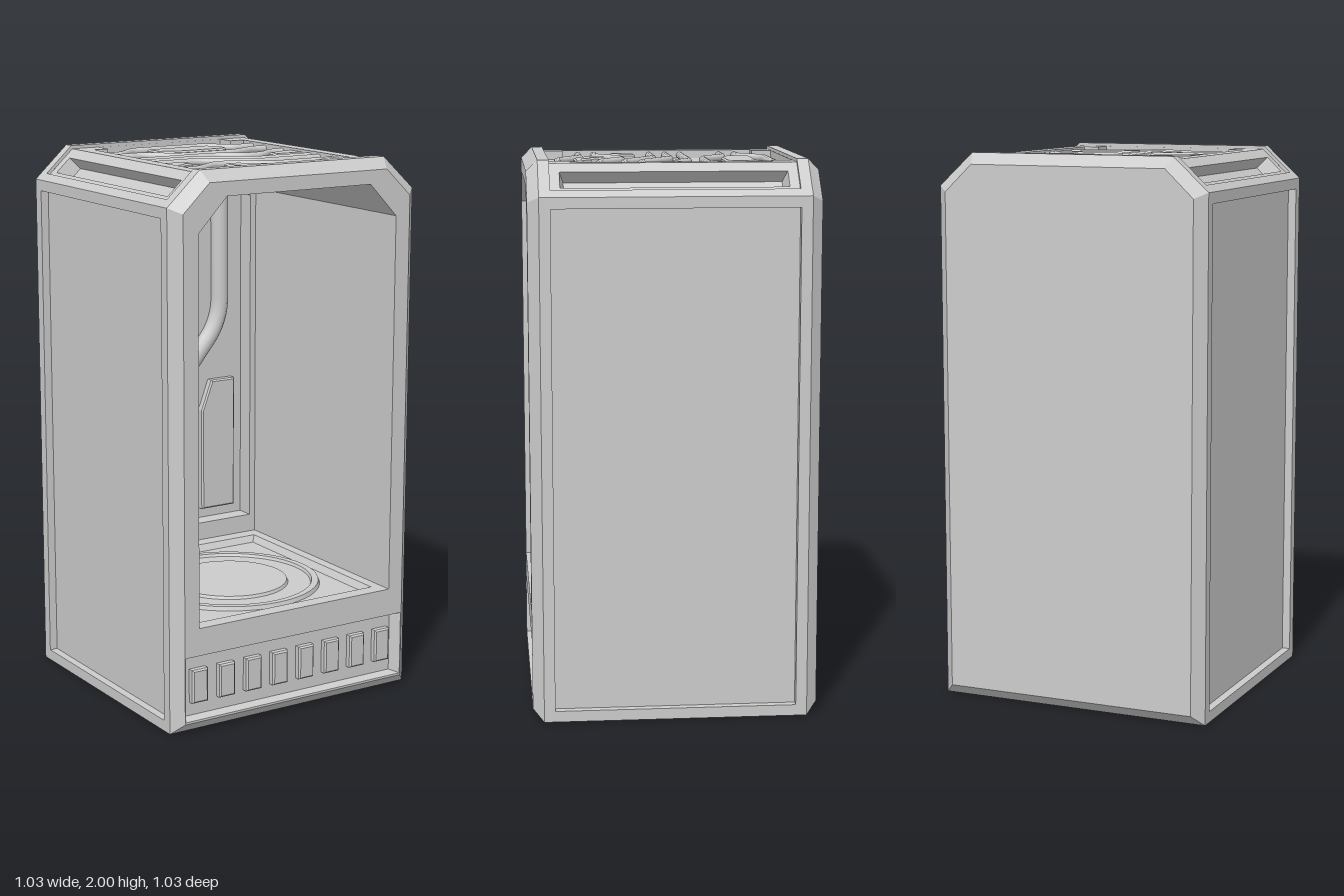
import * as THREE from 'three';

const mat = new THREE.MeshStandardMaterial({ color: 0xcccccc });

function add(parent, name, geometry) {
  const mesh = new THREE.Mesh(geometry, mat);
  mesh.name = name;
  parent.add(mesh);
  return mesh;
}

function subgroup(parent, name, pos = [0, 0, 0], rot = [0, 0, 0]) {
  const g = new THREE.Group();
  g.name = name;
  g.position.set(...pos);
  g.rotation.set(...rot);
  parent.add(g);
  return g;
}

const shapeOf = (pts) => new THREE.Shape(pts.map(([x, y]) => new THREE.Vector2(x, y)));
const atZ = (pts, z) => pts.map(([x, y]) => [x, y, z]);
const rect = (x0, y0, x1, y1) => [[x0, y0], [x1, y0], [x1, y1], [x0, y1]];
// house-shaped outline: square bottom, chamfered top corners
const arch = (w, y0, y1, cx, cy) =>
  [[-w, y0], [w, y0], [w, cy], [cx, y1], [-cx, y1], [-w, cy]];

// flat-shaded walls between successive 3D loops; one side can be left open
function loft(loops, skip = -1) {
  const v = [];
  for (let k = 0; k + 1 < loops.length; k++) {
    const A = loops[k], B = loops[k + 1], n = A.length;
    for (let i = 0; i < n; i++) {
      if (i === skip) continue;
      const j = (i + 1) % n;
      v.push(...A[i], ...A[j], ...B[j], ...A[i], ...B[j], ...B[i]);
    }
  }
  const g = new THREE.BufferGeometry();
  g.setAttribute('position', new THREE.Float32BufferAttribute(v, 3));
  g.computeVertexNormals();
  return g;
}

function face(parent, name, outline, holes = [], z = 0) {
  const s = shapeOf(outline);
  s.holes = holes.map(shapeOf);
  return add(parent, name, new THREE.ShapeGeometry(s).translate(0, 0, z));
}

// sunken pocket: walls from hole down to floor, plus the floor
function pocket(parent, name, hole, floor, z, depth) {
  add(parent, name + 'Walls', loft([atZ(hole, z), atZ(floor, z - depth)]));
  face(parent, name + 'Floor', floor, [], z - depth);
}

// raised plate with a small bevel
function plate(parent, name, pts, z, height) {
  const b = 0.006;
  add(parent, name, new THREE.ExtrudeGeometry(shapeOf(pts), {
    depth: height - b, bevelEnabled: true, bevelThickness: b, bevelSize: b, bevelOffset: -b, bevelSegments: 1,
  }).translate(0, 0, z));
}

// pipe along a polyline with rounded bends
function pipe(parent, name, pts, z, radius, bend) {
  const p = pts.map(([x, y]) => new THREE.Vector3(x, y, z));
  const path = new THREE.CurvePath();
  let from = p[0];
  for (let i = 1; i < p.length - 1; i++) {
    const a = p[i].clone().lerp(p[i - 1], Math.min(0.45, bend / p[i].distanceTo(p[i - 1])));
    const b = p[i].clone().lerp(p[i + 1], Math.min(0.45, bend / p[i].distanceTo(p[i + 1])));
    path.add(new THREE.LineCurve3(from, a));
    path.add(new THREE.QuadraticBezierCurve3(a, p[i], b));
    from = b;
  }
  path.add(new THREE.LineCurve3(from, p[p.length - 1]));
  add(parent, name, new THREE.TubeGeometry(path, 64, radius, 12));
}

export function createModel() {
  const model = new THREE.Group();
  model.name = 'chamber';

  // bevelled front and back rims
  const outline = arch(0.515, 0, 2, 0.385, 1.88);
  const inset = arch(0.475, 0.04, 1.96, 0.37, 1.86);
  for (const [name, ry] of [['frontRim', 0], ['backRim', Math.PI]]) {
    const rim = subgroup(model, name, [0, 0, 0], [0, ry, 0]);
    add(rim, name + 'Bevel', loft([atZ(outline, 0.475), atZ(inset, 0.515)]));
    if (ry) face(rim, 'backPanel', inset, [], 0.515);
  }
  const underside = add(model, 'underside', new THREE.PlaneGeometry(1.03, 0.95));
  underside.rotation.x = Math.PI / 2;

  // front face with doorway and button tray
  const door = arch(0.415, 0.39, 1.91, 0.3, 1.79);
  const niche = arch(0.39, 0.46, 1.87, 0.285, 1.765);
  const tray = rect(-0.472, 0.048, 0.472, 0.288);
  face(model, 'frontFace', inset, [door, tray], 0.515);
  pocket(model, 'buttonTray', tray, rect(-0.45, 0.055, 0.45, 0.285), 0.515, 0.04);
  for (let i = 0; i < 8; i++) {
    const x = (i - 3.5) * 0.1145;
    plate(model, 'button', rect(x - 0.033, 0.105, x + 0.033, 0.23), 0.475, 0.025);
  }

  // chamber interior and back niche
  add(model, 'chamberWalls', loft([atZ(door, 0.515), atZ(door, -0.4)], 0));
  face(model, 'nicheSurround', door, [niche], -0.4);
  pocket(model, 'niche', niche, niche, -0.4, 0.07);

  // pipes, junction box and plates on the back wall
  const back = subgroup(model, 'backFittings');
  const wz = -0.47;
  pipe(back, 'largePipe', [[-0.277, 1.87], [-0.277, 1.05], [-0.112, 0.9], [-0.112, 0.46]], wz + 0.02, 0.034, 0.09);
  pipe(back, 'largePipe', [[0.277, 1.87], [0.277, 1.27], [0.08, 1.03], [0.08, 0.46]], wz + 0.02, 0.034, 0.09);
  for (const s of [-1, 1])
    for (const [top, low, y] of [[0.165, 0.11, 1.55], [0.083, 0.06, 1.55]])
      pipe(back, 'thinPipe', [[s * top, 1.87], [s * top, y], [s * low, y - 0.12], [s * low, 1.25]], wz + 0.01, 0.015, 0.04);
  pipe(back, 'thinPipe', [[0, 1.87], [0, 0.46]], wz + 0.01, 0.014, 0.04);
  pipe(back, 'thinPipe', [[-0.125, 1.15], [-0.125, 1.07], [-0.042, 1.01], [-0.042, 0.46]], wz + 0.01, 0.014, 0.03);
  plate(back, 'junctionBox', [[-0.195, 1.095], [0.025, 1.095], [0.025, 1.18], [0.04, 1.2], [0.115, 1.2],
    [0.165, 1.255], [0.165, 1.285], [-0.195, 1.285]], wz, 0.05);
  plate(back, 'leftPlate', [[-0.36, 0.49], [-0.183, 0.49], [-0.183, 0.77], [-0.225, 0.855], [-0.36, 0.855]], wz, 0.03);
  plate(back, 'rightPlate', [[0.19, 0.502], [0.343, 0.502], [0.343, 1.03], [0.235, 1.03], [0.19, 0.91]], wz, 0.03);

  // sunken chamber floor with round pad
  const floor = subgroup(model, 'chamberFloor', [0, 0.39, 0.0575], [-Math.PI / 2, 0, 0]);
  const well = rect(-0.375, -0.4, 0.375, 0.4);
  face(floor, 'floorBorder', rect(-0.415, -0.4575, 0.415, 0.4575), [well]);
  pocket(floor, 'floorWell', well, rect(-0.36, -0.385, 0.36, 0.385), 0, 0.025);
  const padProfile = [[0.345, 0], [0.34, 0.015], [0.315, 0.015], [0.31, 0.004], [0.225, 0.004], [0.22, 0.015], [0, 0.015]];
  for (let i = 0; i + 1 < padProfile.length; i++) {
    const seg = padProfile.slice(i, i + 2).map(([r, y]) => new THREE.Vector2(r, y));
    add(model, 'floorPad', new THREE.LatheGeometry(seg, 48)).position.set(0, 0.365, 0.0575);
  }

  // side walls and sloped shoulders, mirrored by a half turn
  const slope = Math.atan2(0.12, 0.13), L = Math.hypot(0.12, 0.13) / 2, drop = 0.012;
  for (const [name, ry] of [['left', 0], ['right', Math.PI]]) {
    const half = subgroup(model, name + 'Half', [0, 0, 0], [0, ry, 0]);
    const side = subgroup(half, name + 'Side', [0.515, 0, 0], [0, Math.PI / 2, 0]);
    const opening = rect(-0.435, 0.04, 0.435, 1.84);
    face(side, 'sideFrame', rect(-0.475, 0, 0.475, 1.88), [opening]);
    pocket(side, 'sidePanel', opening, opening, 0, 0.03);

    const tilt = subgroup(half, name + 'Shoulder', [0.45, 1.94, 0], [0, 0, -slope]);
    const shoulder = subgroup(tilt, 'shoulderFace', [0, 0, 0], [-Math.PI / 2, 0, 0]);
    face(shoulder, 'shoulderFrame', [[-L, -0.475], [L, -0.475], [L, 0.475], [-L, 0.475],
      [-L, 0.435], [0.0545, 0.435], [0.0545, -0.435], [-L, -0.435]]);
    const groove = rect(-0.041, -0.4, 0.034, 0.4);
    face(shoulder, 'shoulderPanel', rect(-L + 0.0047, -0.435, 0.0545, 0.435), [groove], -drop);
    pocket(shoulder, 'shoulderGroove', groove, rect(-0.041, -0.385, 0.034, 0.385), -drop, 0.055);
  }

  // step down from the rims to the roof deck
  const crown = (pts) => [
    ...pts.map(([x, y]) => [x, y, 0.435]),
    ...pts.slice().reverse().map(([x, y]) => [x, y, -0.435]),
  ];
  add(model, 'roofStep', loft([
    crown([[-0.49, 1.9031], [-0.385, 2], [0.385, 2], [0.49, 1.9031]]),
    crown([[-0.4819, 1.8943], [-0.3803, 1.988], [0.3803, 1.988], [0.4819, 1.8943]]),
  ]));

  // roof deck with cross-shaped pocket
  const roof = subgroup(model, 'roof', [0, 2, 0], [-Math.PI / 2, 0, 0]);
  for (const s of [-1, 1])
    face(roof, 'roofEdge', rect(-0.385, s * 0.455 - 0.02, 0.385, s * 0.455 + 0.02));
  const cross = [[-0.27, -0.434], [0.27, -0.434], [0.27, -0.36], [0.33, -0.36], [0.33, 0.36], [0.27, 0.36],
    [0.27, 0.434], [-0.27, 0.434], [-0.27, 0.36], [-0.33, 0.36], [-0.33, -0.36], [-0.27, -0.36]];
  face(roof, 'roofDeck', rect(-0.3803, -0.435, 0.3803, 0.435), [cross], -drop);
  pocket(roof, 'roofPocket', cross, cross, -drop, 0.03);

  // roof pipes and plates, given as x and z
  const flip = (pts) => pts.map(([x, z]) => [x, -z]);
  const roofPipes = [
    [[-0.33, -0.3], [-0.25, -0.3], [-0.155, -0.39], [0.165, -0.39], [0.245, -0.3], [0.33, -0.3]],
    [[-0.33, -0.24], [-0.19, -0.24], [-0.09, -0.15], [0.15, -0.15], [0.27, -0.21], [0.33, -0.21]],
    [[-0.33, -0.09], [0.03, -0.09], [0.12, -0.03], [0.2, -0.03], [0.27, -0.09], [0.33, -0.09]],
    [[-0.33, -0.033], [-0.09, -0.033], [0.09, 0.09], [0.33, 0.09]],
    [[-0.33, 0.028], [-0.12, 0.028], [0.06, 0.15], [0.33, 0.15]],
    [[-0.33, 0.24], [-0.25, 0.24], [-0.125, 0.15], [-0.06, 0.15], [0.06, 0.24], [0.33, 0.24]],
    [[-0.33, 0.3], [-0.18, 0.3], [-0.03, 0.39], [0.16, 0.39], [0.26, 0.27], [0.33, 0.27]],
  ];
  for (const pts of roofPipes) pipe(roof, 'roofPipe', flip(pts), -0.032, 0.0135, 0.03);
  const roofPlates = [
    [[-0.12, -0.33], [0.14, -0.33], [0.175, -0.29], [0.175, -0.24], [0.145, -0.215], [-0.035, -0.215], [-0.12, -0.245]],
    [[0.21, 0], [0.29, -0.03], [0.33, -0.03], [0.33, 0.055], [0.21, 0.055]],
    [[-0.3, 0.09], [-0.21, 0.09], [-0.21, 0.145], [-0.24, 0.15], [-0.27, 0.18], [-0.3, 0.18]],
    [[-0.12, 0.21], [-0.06, 0.21], [-0.03, 0.265], [0, 0.265], [0.03, 0.3], [0.145, 0.3], [0.145, 0.33],
      [-0.03, 0.33], [-0.12, 0.275]],
  ];
  for (const pts of roofPlates) plate(roof, 'roofPlate', flip(pts), -0.042, 0.022);

  return model;
}
